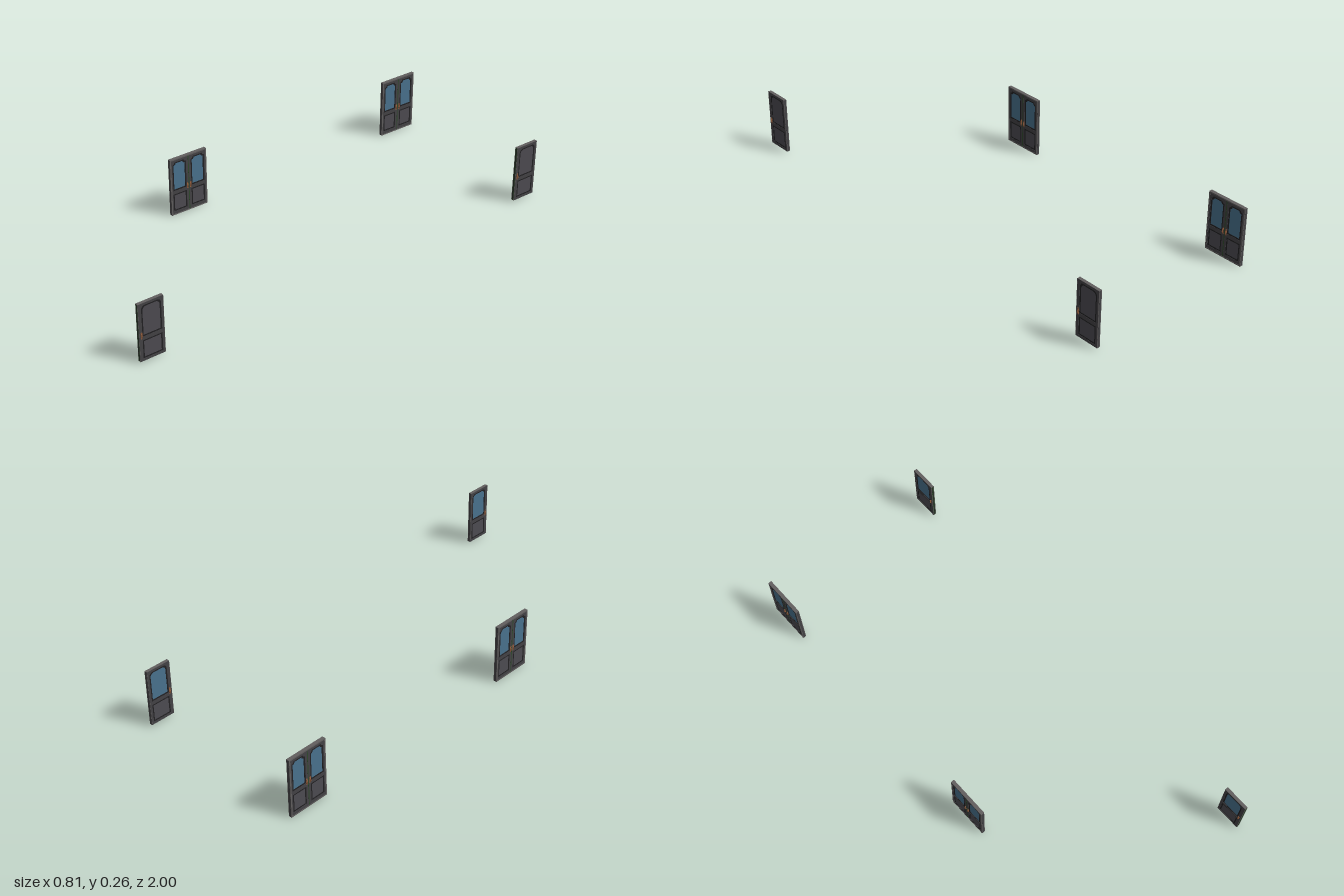
import * as THREE from 'three';

const mat = (name, color) => {
  const m = new THREE.MeshStandardMaterial({ color });
  m.name = name;
  return m;
};

export function createModel() {
  const wood = mat('charcoal wood', 0x444346);
  const panelMat = mat('panel grey', 0x4e4c52);
  const groove = mat('dark moulding', 0x222123);
  const trim = mat('frame grey', 0x625f5f);
  const glass = mat('blue glass', 0x4a738f);
  const green = mat('dark green edge', 0x2f4a2d);
  const bronze = mat('bronze handle', 0x9a6240);

  const T = 0.0135; // leaf thickness

  const rect = (x0, x1, y0, y1) => new THREE.Shape([
    new THREE.Vector2(x0, y0), new THREE.Vector2(x1, y0),
    new THREE.Vector2(x1, y1), new THREE.Vector2(x0, y1)]);

  // Upper panel outline: top corners rounded, or scooped inwards
  const upperShape = (cx, hw, y0, y1, r, scooped) => {
    const s = new THREE.Shape();
    const l = cx - hw, e = cx + hw;
    s.moveTo(l, y0);
    s.lineTo(e, y0);
    s.lineTo(e, y1 - r);
    if (scooped) {
      s.absarc(e, y1, r, -Math.PI / 2, -Math.PI, true);
      s.lineTo(l + r, y1);
      s.absarc(l, y1, r, 0, -Math.PI / 2, true);
    } else {
      s.absarc(e - r, y1 - r, r, 0, Math.PI / 2, false);
      s.lineTo(l + r, y1);
      s.absarc(l + r, y1 - r, r, Math.PI / 2, Math.PI, false);
    }
    s.closePath();
    return s;
  };

  // Flat extrusion from z0 to z1
  const slab = (parent, name, shape, z0, z1, material) => {
    const g = new THREE.ExtrudeGeometry(shape, { depth: z1 - z0, bevelEnabled: false, curveSegments: 8 });
    g.translate(0, 0, z0);
    const m = new THREE.Mesh(g, material);
    m.name = name;
    parent.add(m);
  };

  const box = (parent, name, size, pos, material) => {
    const m = new THREE.Mesh(new THREE.BoxGeometry(...size), material);
    m.name = name;
    m.position.set(...pos);
    parent.add(m);
  };

  // Upright pull ring that passes through the leaf, with a thumb latch above
  const handle = (parent, x) => {
    const g = new THREE.Group();
    g.name = 'handle';
    const ring = new THREE.Mesh(new THREE.TorusGeometry(0.0108, 0.0022, 8, 20), bronze);
    ring.name = 'pullRing';
    ring.rotation.y = Math.PI / 2;
    g.add(ring);
    box(g, 'lockPlate', [0.007, 0.026, T + 0.002], [0, 0, 0], bronze);
    box(g, 'thumbLatch', [0.003, 0.003, 0.019], [0, 0.014, 0], bronze);
    g.position.set(x, 0.12, 0);
    parent.add(g);
  };

  // One door leaf: stiles and rails, mouldings, lower panel and upper pane
  const leaf = (parent, o) => {
    const g = new THREE.Group();
    g.name = 'doorLeaf';
    const h = T / 2;
    const m = 0.006; // moulding width
    const upper = (inset) =>
      upperShape(o.px, o.hw - inset, 0.115 + inset, o.top - inset, o.r, o.scooped);
    const lower = (inset) => rect(o.px - o.hw + inset, o.px + o.hw - inset, 0.018 + inset, 0.099 - inset);

    const body = rect(o.x0, o.x1, o.y0, o.y1);
    body.holes.push(upper(0), lower(0));
    slab(g, 'stilesAndRails', body, -h, h, wood);

    for (const [name, fn] of [['upperMoulding', upper], ['lowerMoulding', lower]]) {
      const ring = fn(0);
      ring.holes.push(fn(m));
      slab(g, name, ring, -h + 0.001, h - 0.001, groove);
    }
    slab(g, 'lowerPanel', lower(m), -h + 0.001, h - 0.001, panelMat);
    slab(g, 'upperPaneInside', upper(m), 0, h - 0.002, glass);
    slab(g, 'upperPaneOutside', upper(m), -h + (o.solidBack ? 0.001 : 0.002), 0,
      o.solidBack ? panelMat : glass);
    parent.add(g);
  };

  // Edge plate with a coloured band down the middle
  const edge = (parent, x, dir, y0, y1, depth, band) => {
    const yc = (y0 + y1) / 2;
    box(parent, 'edgePlate', [0.001, y1 - y0, depth], [x, yc, 0], trim);
    box(parent, 'edgeBand', [0.001, y1 - y0 - 0.002, 0.0095], [x + dir * 0.0004, yc, 0], band);
  };

  const singleDoor = () => {
    const g = new THREE.Group();
    g.name = 'singleDoor';
    const w = 0.055, y0 = 0.007, y1 = 0.26;
    leaf(g, { x0: -w, x1: w, y0, y1, px: -0.002, hw: 0.043, top: 0.25,
      r: 0.017, scooped: false, solidBack: true });
    box(g, 'topPlate', [2 * w, 0.001, T], [0, y1, 0], trim);
    edge(g, w, 1, y0, y1, T + 0.001, green);
    box(g, 'edgeGroove', [0.001, y1 - y0 - 0.004, 0.003], [w + 0.0007, (y0 + y1) / 2, 0], groove);
    edge(g, -w, -1, y0, y1, T + 0.001, wood);
    handle(g, 0.045);
    return g;
  };

  const doubleDoor = () => {
    const g = new THREE.Group();
    g.name = 'doubleDoor';
    const W = 0.09, f = 0.005, top = 0.265;
    // surrounding frame
    const frame = rect(-W, W, 0, top);
    frame.holes.push(rect(-W + f, W - f, f, top - f));
    slab(g, 'frame', frame, -0.0075, 0.0075, trim);
    for (const s of [-1, 1]) {
      const a = s * 0.0015, b = s * (W - f);
      leaf(g, { x0: Math.min(a, b), x1: Math.max(a, b), y0: f, y1: top - f, px: s * 0.0455,
        hw: 0.0335, top: 0.25, r: 0.01, scooped: true, solidBack: false });
      edge(g, s * W, s, 0, top, 0.015, wood);
      handle(g, s * 0.008);
    }
    box(g, 'meetingStrip', [0.004, top - 2 * f, T + 0.0006], [0, top / 2, 0], green);
    return g;
  };

  const model = new THREE.Group();
  model.name = 'doorSet';
  // Local x runs along world z; local front faces world -x
  const place = (door, x, z) => {
    door.rotation.y = -Math.PI / 2;
    door.position.set(x, 0, z);
    model.add(door);
  };
  place(doubleDoor(), -0.394, 0.238);
  place(doubleDoor(), -0.394, -0.91);
  place(singleDoor(), 0.395, 0.943);
  place(singleDoor(), 0.395, -0.943);
  return model;
}
